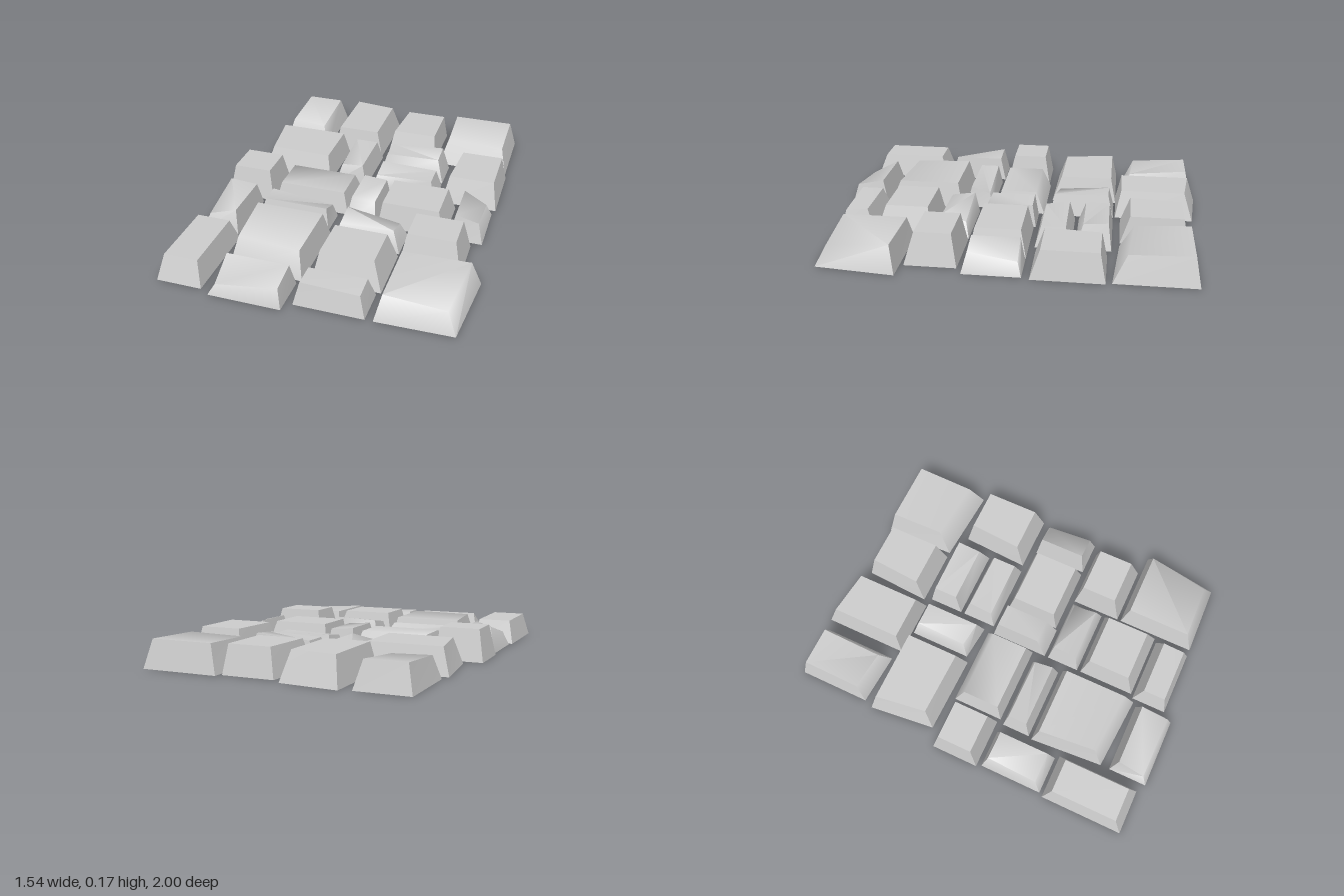
import * as THREE from 'three';
import { toCreasedNormals } from 'three/addons/utils/BufferGeometryUtils.js';

const stoneGrey = new THREE.MeshStandardMaterial({ color: 0xcccccc });
stoneGrey.name = 'stone grey';

// One tapered paving stone. Corners run back-left, back-right, front-right, front-left.
// foot: [x0, x1, z0, z1]; inset of the top: [left, right, back, front];
// height: one number or four; skew: [corner, dx, dz] shifts; flip: other top diagonal.
function stone([x0, x1, z0, z1], [l, r, b, f], height, { skew = [], flip = false } = {}) {
  const h = Array.isArray(height) ? height : [height, height, height, height];
  const foot = [[x0, 0, z0], [x1, 0, z0], [x1, 0, z1], [x0, 0, z1]];
  const top = [[x0 + l, h[0], z0 + b], [x1 - r, h[1], z0 + b], [x1 - r, h[2], z1 - f], [x0 + l, h[3], z1 - f]];
  for (const [i, dx, dz] of skew) {
    for (const p of [foot[i], top[i]]) { p[0] += dx; p[2] += dz; }
  }
  const points = [];
  const quad = (p, q, s, t) => points.push(...p, ...q, ...s, ...p, ...s, ...t);
  if (flip) quad(top[1], top[0], top[3], top[2]);
  else quad(top[0], top[3], top[2], top[1]);
  quad(foot[0], foot[1], foot[2], foot[3]);
  for (let i = 0; i < 4; i++) {
    const j = (i + 1) % 4;
    quad(foot[j], foot[i], top[i], top[j]);
  }
  const geometry = new THREE.BufferGeometry();
  geometry.setAttribute('position', new THREE.Float32BufferAttribute(points, 3));
  // only the gentle edges are smoothed
  const mesh = new THREE.Mesh(toCreasedNormals(geometry, 1.2), stoneGrey);
  mesh.name = 'pavingStone';
  return mesh;
}

function course(name, ...stones) {
  const group = new THREE.Group();
  group.name = name;
  group.add(...stones);
  return group;
}

export function createModel() {
  const model = new THREE.Group();
  model.name = 'cobblestonePath';

  model.add(course('backCourse',
    stone([-0.7, -0.42, -0.98, -0.57], [0.03, 0.04, 0.03, 0.05], [0.14, 0.14, 0.11, 0.12], { skew: [[3, 0, -0.02]] }),
    stone([-0.36, -0.05, -1, -0.54], [0.03, 0.04, 0.05, 0.03], 0.15, { skew: [[1, 0, 0.03]] }),
    stone([-0.02, 0.28, -0.93, -0.57], [0.03, 0.02, 0.03, 0.05], 0.15, { skew: [[0, 0.02, 0]] }),
    stone([0.3, 0.72, -0.96, -0.54], [0.04, 0.04, 0.03, 0.07], [0.15, 0.15, 0.14, 0.14], { skew: [[3, 0.01, -0.03]] })));

  model.add(course('secondCourse',
    stone([-0.72, -0.26, -0.54, -0.17], [0.04, 0.03, 0.03, 0.05], 0.14, { skew: [[3, 0.04, -0.01]] }),
    stone([-0.23, -0.04, -0.53, -0.17], [0.03, 0.03, 0.03, 0.03], [0.12, 0.12, 0.12, 0.1], { skew: [[3, 0, -0.02]] }),
    stone([0, 0.38, -0.53, -0.34], [0.03, 0.04, 0.02, 0.04], [0.12, 0.14, 0.13, 0.12]),
    stone([0, 0.38, -0.32, -0.13], [0.03, 0.03, 0.03, 0.03], [0.12, 0.11, 0.11, 0.1], { flip: true }),
    stone([0.42, 0.73, -0.51, -0.14], [0.03, 0.03, 0.03, 0.05], 0.15, { skew: [[0, 0.02, 0]] })));

  model.add(course('middleCourse',
    stone([-0.77, -0.5, -0.13, 0.13], [0.03, 0.03, 0.03, 0.04], 0.17),
    stone([-0.48, -0.05, -0.14, 0.14], [0.03, 0.03, 0.05, 0.03], 0.12, { flip: true }),
    stone([-0.04, 0.13, -0.11, 0.21], [0.02, 0.02, 0.02, 0.06], [0.13, 0.12, 0.12, 0.13], { flip: true }),
    stone([0.14, 0.51, -0.1, 0.2], [0.02, 0.04, 0.03, 0.03], 0.14),
    stone([0.53, 0.715, -0.1, 0.2], [0.03, 0.03, 0.02, 0.03], [0.14, 0.07, 0.11, 0.14], { flip: true })));

  model.add(course('fourthCourse',
    stone([-0.755, -0.55, 0.155, 0.5], [0.03, 0.02, 0.03, 0.04], [0.14, 0.13, 0.13, 0.08]),
    stone([-0.5, -0.1, 0.165, 0.32], [0.03, 0.02, 0.02, 0.03], [0.12, 0.08, 0.12, 0.12], { flip: true }),
    stone([-0.04, 0.32, 0.23, 0.41], [0.03, 0.04, 0.02, 0.03], [0.13, 0.08, 0.12, 0.11]),
    stone([0.34, 0.66, 0.23, 0.5], [0.03, 0.04, 0.03, 0.05], 0.17)));

  model.add(course('fifthCourse',
    stone([-0.51, -0.08, 0.34, 0.77], [0.03, 0.03, 0.03, 0.06], 0.14, { skew: [[3, 0.03, -0.03]] }),
    stone([-0.04, 0.32, 0.43, 0.74], [0.03, 0.05, 0.03, 0.05], 0.15)));

  model.add(course('frontCourse',
    stone([-0.77, -0.53, 0.52, 0.97], [0.03, 0.03, 0.04, 0.05], 0.13),
    stone([-0.48, -0.1, 0.79, 1], [0.03, 0.02, 0.03, 0.03], [0.13, 0.13, 0.1, 0.05], { flip: true }),
    stone([-0.06, 0.3, 0.755, 0.945], [0.03, 0.03, 0.04, 0.03], [0.12, 0.12, 0.11, 0.12], { flip: true }),
    stone([0.34, 0.77, 0.52, 0.945], [0.03, 0.05, 0.03, 0.05], [0.13, 0.14, 0.1, 0.13], { skew: [[2, -0.04, -0.01]], flip: true })));

  return model;
}
